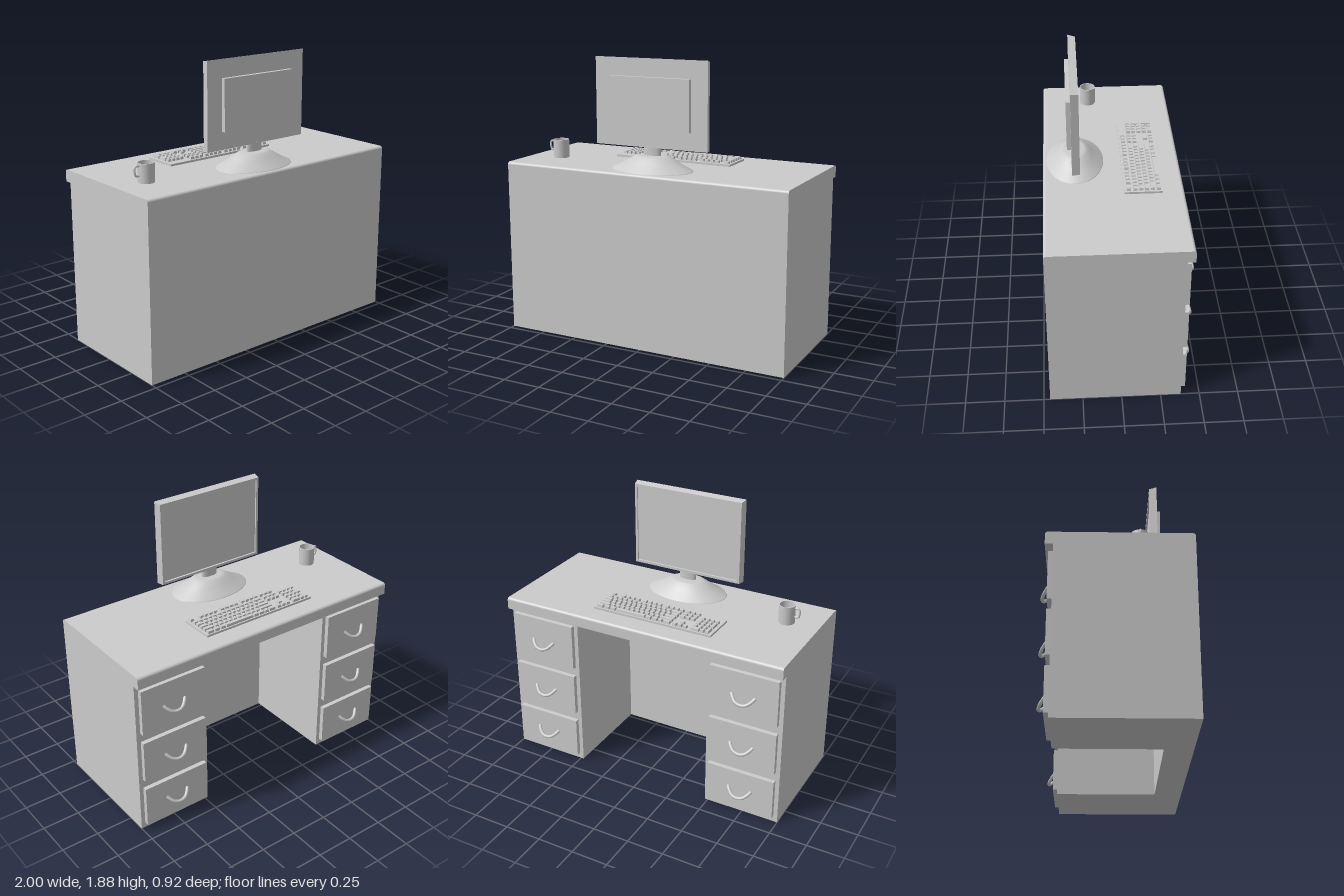
import * as THREE from 'three';
import { mergeGeometries } from 'three/addons/utils/BufferGeometryUtils.js';

const TOP = 1.165; // height of the work surface

export function createModel() {
  const model = new THREE.Group();
  const grey = new THREE.MeshStandardMaterial({ color: 0xcccccc });
  const thin = new THREE.MeshStandardMaterial({ color: 0xcccccc, side: THREE.DoubleSide });

  const add = (name, geometry, parent = model, material = grey) => {
    const mesh = new THREE.Mesh(geometry, material);
    mesh.name = name;
    parent.add(mesh);
    return mesh;
  };
  const group = (name, x = 0, y = 0, z = 0) => {
    const g = new THREE.Group();
    g.name = name;
    g.position.set(x, y, z);
    model.add(g);
    return g;
  };
  // box given by its limits
  const span = (x0, x1, y0, y1, z0, z1) =>
    new THREE.BoxGeometry(x1 - x0, y1 - y0, z1 - z0)
      .translate((x0 + x1) / 2, (y0 + y1) / 2, (z0 + z1) / 2);
  const polygon = (pts) => new THREE.Shape(pts.map(([x, y]) => new THREE.Vector2(x, y)));

  // Desk body: U-shaped plan with a knee hole, pulled upward
  const plan = polygon([
    [-1, -0.46], [1, -0.46], [1, 0.38], [0.48, 0.38],
    [0.48, -0.28], [-0.48, -0.28], [-0.48, 0.38], [-1, 0.38],
  ]);
  add('deskBody', new THREE.ExtrudeGeometry(plan, { depth: 1.085, bevelEnabled: false }).rotateX(-Math.PI / 2));

  // Desk top: side profile with rounded upper edges, pulled along x
  const r = 0.018;
  const profile = new THREE.Shape();
  profile.moveTo(-0.46, 1.085);
  profile.lineTo(0.43, 1.085);
  profile.lineTo(0.43, TOP - r);
  profile.absarc(0.43 - r, TOP - r, r, 0, Math.PI / 2);
  profile.lineTo(-0.46 + r, TOP);
  profile.absarc(-0.46 + r, TOP - r, r, Math.PI / 2, Math.PI);
  profile.closePath();
  add('deskTop', new THREE.ExtrudeGeometry(profile, { depth: 2, bevelEnabled: false, curveSegments: 6 })
    .rotateY(Math.PI / 2).translate(-1, 0, 0));

  // Drawers with drooping handles, three on each side
  const handlePath = new THREE.CatmullRomCurve3([
    [-0.08, 0, 0], [-0.068, -0.016, -0.014], [-0.038, -0.041, -0.034], [0, -0.05, -0.04],
    [0.038, -0.041, -0.034], [0.068, -0.016, -0.014], [0.08, 0, 0],
  ].map((p) => new THREE.Vector3(...p)));
  const handleGeometry = new THREE.TubeGeometry(handlePath, 24, 0.011, 8);
  for (const side of [-1, 1]) {
    for (const [bottom, top, grip] of [[0.04, 0.32, 0.195], [0.385, 0.673, 0.535], [0.735, 1.05, 0.895]]) {
      const drawer = group('drawer', side * 0.74, 0, 0);
      add('drawerFront', span(-0.232, 0.232, bottom, top, -0.41, -0.375), drawer);
      add('drawerHandle', handleGeometry, drawer).position.set(0, grip, -0.408);
    }
  }

  // Monitor: slab narrowing toward the screen, with a recessed display
  const monitor = group('monitor', -0.01, 0, 0);
  const taper = (geometry) => {
    const p = geometry.attributes.position;
    for (let i = 0; i < p.count; i++) {
      const t = (0.275 - p.getZ(i)) / 0.05;
      p.setX(i, p.getX(i) * (1 - 0.025 * t));
      p.setY(i, 1.31 + (p.getY(i) - 1.31) * (1 - 0.017 * t));
    }
    geometry.computeVertexNormals();
    return geometry;
  };
  const bezel = polygon([[-0.4, 1.31], [0.4, 1.31], [0.4, 1.88], [-0.4, 1.88]]);
  bezel.holes.push(polygon([[-0.383, 1.327], [-0.383, 1.863], [0.383, 1.863], [0.383, 1.327]]));
  add('bezel', taper(new THREE.ExtrudeGeometry(bezel, { depth: 0.013, bevelEnabled: false }).translate(0, 0, 0.225)), monitor);
  add('screenPanel', taper(span(-0.4, 0.4, 1.31, 1.88, 0.238, 0.275)), monitor);
  add('rearHousing', span(-0.285, 0.285, 1.427, 1.762, 0.27, 0.302), monitor);
  add('neck', new THREE.CylinderGeometry(0.06, 0.06, 0.08, 32).scale(1, 1, 0.42).translate(0, 1.28, 0.253), monitor);
  const foot = [[0.28, 0], [0.277, 0.005], [0.23, 0.026], [0.17, 0.06], [0.125, 0.086], [0.095, 0.094], [0, 0.095]];
  add('foot', new THREE.LatheGeometry(foot.map(([x, y]) => new THREE.Vector2(x, y)), 48)
    .scale(1, 1, 0.67).translate(0, TOP, 0.252), monitor);

  // Keyboard: tray plus rows of keys, nearest row (space bar) first
  const keyboard = group('keyboard');
  add('keyboardTray', span(-0.45, 0.4, TOP - 0.002, TOP + 0.014, -0.29, -0.05), keyboard);
  const rowZ = [-0.267, -0.23, -0.193, -0.157, -0.121, -0.079];
  const keys = [];
  const key = (x, z, w, depth = 0.029) => {
    const geometry = new THREE.BoxGeometry(w - 0.007, 0.022, depth).translate(x, TOP + 0.02, z);
    const p = geometry.attributes.position;
    for (let i = 0; i < p.count; i++) {
      if (p.getY(i) < TOP + 0.02) continue;
      p.setX(i, p.getX(i) - Math.sign(p.getX(i) - x) * 0.003);
      p.setZ(i, p.getZ(i) - Math.sign(p.getZ(i) - z) * 0.003);
    }
    geometry.computeVertexNormals();
    keys.push(geometry);
  };
  // widths in key units, from the typist's left (+x) to right
  const unit = 0.0365;
  const ones = (n) => Array(n).fill(1);
  const mainRows = [
    [1.5, 1.25, 1.25, 6, 1.25, 1.25, 1, 1.5],
    [2.25, ...ones(10), 2.75],
    [1.75, ...ones(11), 2.25],
    [1.5, ...ones(12), 1.5],
    [...ones(13), 2],
  ];
  mainRows.forEach((widths, row) => {
    let x = 0.39;
    for (const w of widths) {
      key(x - (w * unit) / 2, rowZ[row], w * unit);
      x -= w * unit;
    }
  });
  // function row: escape and three groups of four
  key(0.372, rowZ[5], unit);
  for (let g = 0; g < 3; g++) {
    for (let i = 0; i < 4; i++) key(0.299 - g * 0.165 - i * unit, rowZ[5], unit);
  }
  // navigation cluster and arrows
  for (let i = 0; i < 3; i++) {
    for (const row of [0, 3, 4, 5]) key(-0.188 - i * unit, rowZ[row], unit);
  }
  key(-0.188 - unit, rowZ[1], unit);
  // number pad
  for (let row = 0; row < 5; row++) {
    for (let i = 0; i < 4; i++) {
      if (row === 0 && i === 1) continue;
      if (i === 3 && row % 2 === 1) continue;
      if (row === 0 && i === 0) key(-0.332, rowZ[0], 0.067);
      else if (i === 3 && row < 4) key(-0.416, rowZ[row] + 0.018, 0.0335, 0.065);
      else key(-0.316 - i * 0.0335, rowZ[row], 0.0335);
    }
  }
  add('keys', mergeGeometries(keys), keyboard);

  // Mug: hollow lathe with a squarish handle
  const mug = group('mug', -0.78, TOP, 0.14);
  const wall = [[0, 0], [0.053, 0], [0.054, 0.124], [0.049, 0.124], [0.048, 0.012], [0, 0.012]];
  // doubled corner points keep the rim and base edges crisp
  const crisp = wall.flatMap(([x, y]) => [new THREE.Vector2(x, y), new THREE.Vector2(x, y)]);
  add('mugCup', new THREE.LatheGeometry(crisp, 32), mug, thin);
  const handle = new THREE.CatmullRomCurve3([
    [-0.05, 0.107], [-0.072, 0.109], [-0.084, 0.098], [-0.084, 0.068], [-0.077, 0.05], [-0.05, 0.046],
  ].map(([x, y]) => new THREE.Vector3(x, y, 0)));
  add('mugHandle', new THREE.TubeGeometry(handle, 24, 0.007, 8), mug);

  return model;
}
